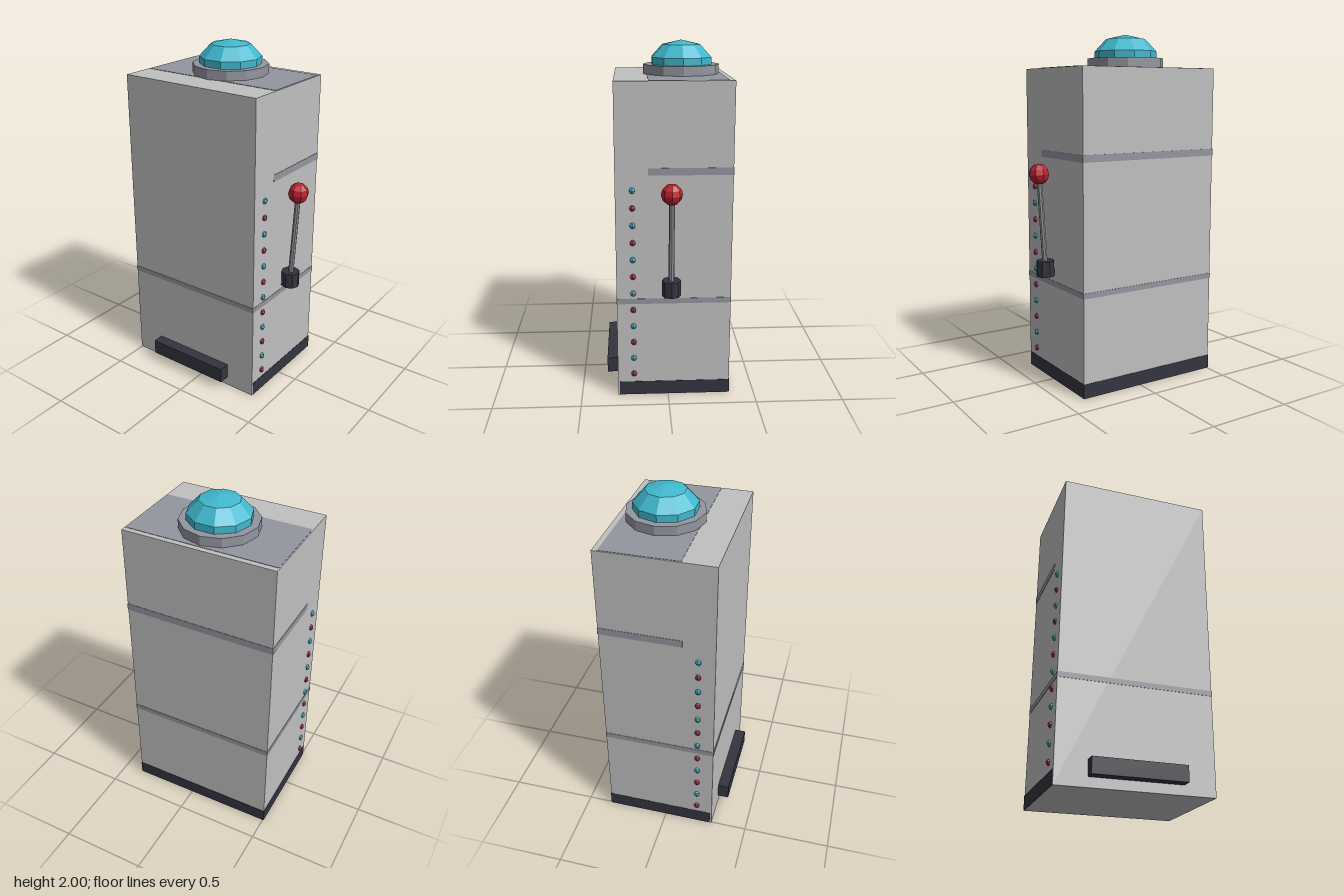
import * as THREE from 'three';

const paint = (name, color) => {
  const m = new THREE.MeshStandardMaterial({ color, flatShading: true });
  m.name = name;
  return m;
};

export function createModel() {
  const model = new THREE.Group();
  model.name = 'slotMachine';
  const silver = paint('silver', 0xc0c0c0);
  const trim = paint('trimGrey', 0x93969f);
  const dark = paint('charcoal', 0x343440);
  const teal = paint('teal', 0x40b8ce);
  const red = paint('red', 0xb8202c);
  const magenta = paint('magenta', 0xa83060);

  const add = (name, geometry, material, x = 0, y = 0, z = 0, parent = model) => {
    const mesh = new THREE.Mesh(geometry, material);
    mesh.name = name;
    mesh.position.set(x, y, z);
    parent.add(mesh);
    return mesh;
  };
  // Box given by its two opposite corners
  const block = (name, material, [x0, y0, z0], [x1, y1, z1]) =>
    add(name, new THREE.BoxGeometry(x1 - x0, y1 - y0, z1 - z0), material,
      (x0 + x1) / 2, (y0 + y1) / 2, (z0 + z1) / 2);

  const L = -0.505, R = 0.378, B = -0.355, F = 0.29, TOP = 1.81, T = 0.002;

  // Cabinet with a tinted roof panel and a payout tray
  block('cabinet', silver, [L, 0, B], [R, TOP, F]);
  block('roofPanel', trim, [L + 0.006, TOP, -0.325], [R - 0.005, TOP + T, 0.105]);
  block('payoutTray', dark, [-0.327, 0.055, F], [0.197, 0.145, 0.355]);

  // Thin bands around the sides and back, reaching forward to zFront
  const band = (name, material, y0, y1, zFront) => {
    block(name + 'Right', material, [L - T, y0, B - T], [L, y1, zFront]);
    block(name + 'Left', material, [R, y0, B - T], [R + T, y1, zFront]);
    block(name + 'Back', material, [L, y0, B - T], [R, y1, B]);
  };
  band('lowerBand', trim, 0.567, 0.598, F);
  block('lowerBandFront', trim, [L - T, 0.567, F], [R + T, 0.598, F + T]);
  band('upperBand', trim, 1.307, 1.347, 0.11);
  band('plinth', dark, 0.002, 0.083, 0.28);

  // Beacon on the roof
  add('beaconRing', new THREE.CylinderGeometry(0.2185, 0.2185, 0.055, 12), trim,
    -0.063, TOP + 0.0275, -0.096);
  const domeProfile = [[0.178, 1.86], [0.178, 1.905], [0.112, 1.975], [0, 2]]
    .map(([r, y]) => new THREE.Vector2(r, y));
  add('beaconDome', new THREE.LatheGeometry(domeProfile, 10, Math.PI / 2), teal, -0.063, 0, -0.096);

  // Bulbs in alternating colours down both sides
  const bulb = new THREE.SphereGeometry(0.018, 6, 4);
  for (let i = 0; i < 12; i++) {
    for (const x of [L, R]) {
      add('bulb', bulb, i % 2 ? teal : magenta, x, 0.135 + i * 0.0991, 0.197);
    }
  }

  // Pull lever: upright socket, leaning rod and ball
  const lever = new THREE.Group();
  lever.name = 'lever';
  lever.position.set(0.43, 0.68, -0.015);
  model.add(lever);
  add('leverSocket', new THREE.CylinderGeometry(0.053, 0.053, 0.09, 8), dark, 0, 0, 0, lever);
  const arm = new THREE.Group();
  arm.name = 'leverArm';
  arm.rotation.z = -0.06;
  lever.add(arm);
  add('leverRod', new THREE.CylinderGeometry(0.016, 0.016, 0.52, 8), trim, 0, 0.26, 0, arm);
  add('leverBall', new THREE.SphereGeometry(0.059, 8, 6), red, 0, 0.543, 0, arm);

  return model;
}
